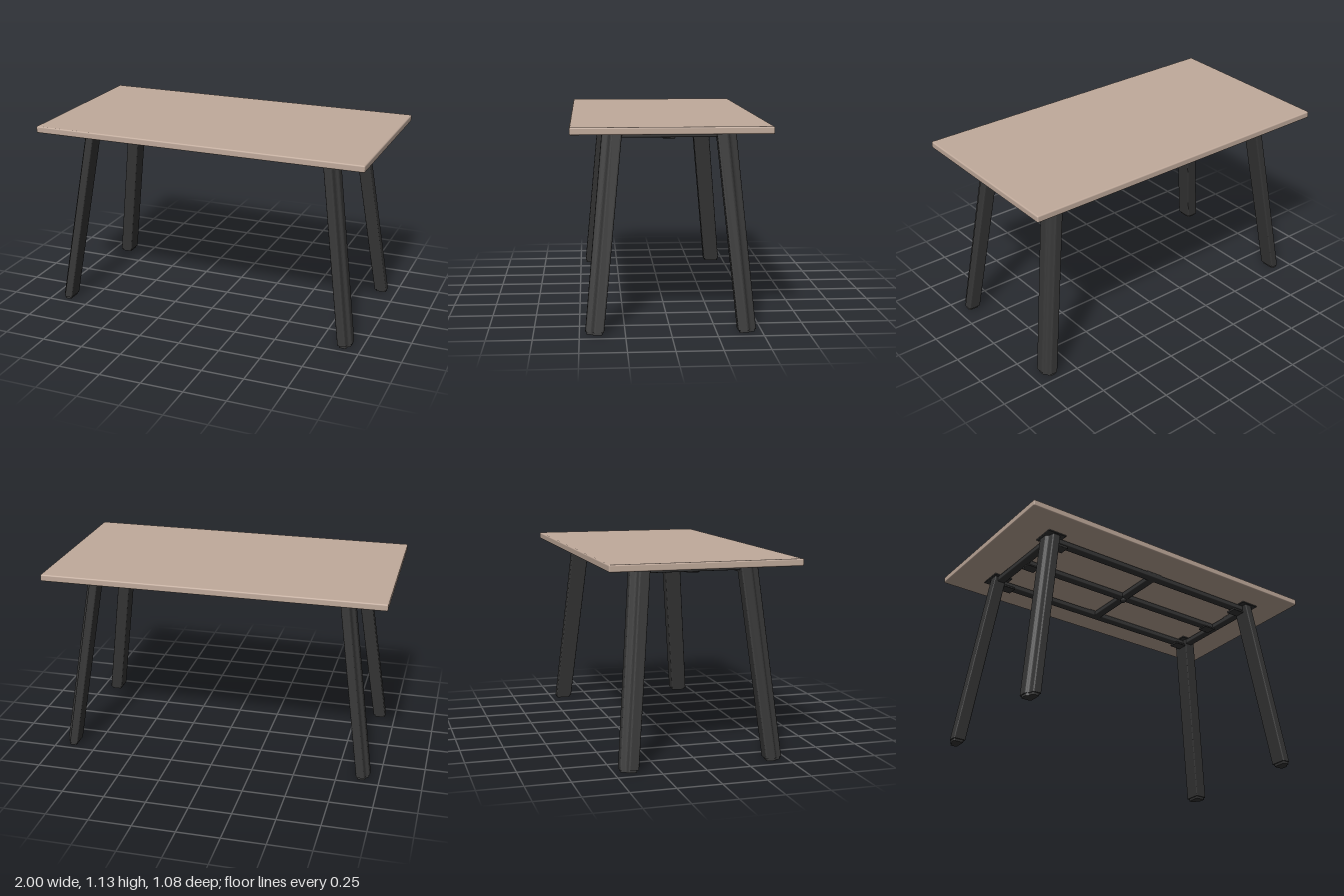
import * as THREE from 'three';
import { RoundedBoxGeometry } from 'three/addons/geometries/RoundedBoxGeometry.js';

export function createModel() {
  const wood = new THREE.MeshStandardMaterial({ color: 0xc0aa9b });
  wood.name = 'pale wood';
  const metal = new THREE.MeshStandardMaterial({ color: 0x363636 });
  metal.name = 'dark metal';

  const table = new THREE.Group();
  table.name = 'table';

  function add(name, geometry, material, x = 0, y = 0, z = 0) {
    const mesh = new THREE.Mesh(geometry, material);
    mesh.name = name;
    mesh.position.set(x, y, z);
    table.add(mesh);
    return mesh;
  }
  const box = (name, w, h, d, x, y, z, r = 0.008) =>
    add(name, new RoundedBoxGeometry(w, h, d, 3, r), metal, x, y, z);

  // Table top
  add('tableTop', new RoundedBoxGeometry(2, 0.04, 1.08, 3, 0.008), wood, 0, 1.115, 0);

  // Leg section: rounded bar with a step cut along its outer corner
  function legShape(sx, sz, w, d) {
    const corners = [
      [-w, -d], [w, -d], [w, d * 0.12], [w * 0.5, d * 0.32], [w * 0.3, d], [-w, d],
    ].map(([x, z]) => new THREE.Vector2(x * sx, -z * sz));
    const shape = new THREE.Shape();
    const n = corners.length;
    corners.forEach((p, i) => {
      const before = corners[(i + n - 1) % n], after = corners[(i + 1) % n];
      const a = p.clone().add(before.clone().sub(p).setLength(0.009));
      const b = p.clone().add(after.clone().sub(p).setLength(0.009));
      if (i === 0) shape.moveTo(a.x, a.y);
      else shape.lineTo(a.x, a.y);
      shape.quadraticCurveTo(p.x, p.y, b.x, b.y);
    });
    shape.closePath();
    return shape;
  }

  // Upright prism leaned so that it follows the splay of the leg
  function legPrism(sx, sz, w, d, y0, y1) {
    const g = new THREE.ExtrudeGeometry(legShape(sx, sz, w, d), {
      depth: y1 - y0, bevelEnabled: false, curveSegments: 4,
    });
    g.rotateX(-Math.PI / 2);
    g.translate(0, y0, 0);
    const p = g.attributes.position;
    for (let i = 0; i < p.count; i++) {
      const t = p.getY(i) / 1.09;
      const grow = 1 + 0.08 * t;
      p.setX(i, p.getX(i) + sx * (0.905 - 0.155 * t));
      p.setZ(i, p.getZ(i) * grow + sz * (0.418 - 0.106 * t));
    }
    g.computeVertexNormals();
    return g;
  }

  // Legs, feet and corner brackets
  for (const sx of [-1, 1]) {
    for (const sz of [-1, 1]) {
      add('leg', legPrism(sx, sz, 0.038, 0.051, 0.014, 1.09), metal);
      add('foot', legPrism(sx, sz, 0.031, 0.043, 0, 0.016), metal);
      box('cornerBracket', 0.1, 0.014, 0.07, sx * 0.69, 1.048, sz * 0.3, 0.005);
      box('cornerFlange', 0.12, 0.01, 0.14, sx * 0.74, 1.091, sz * 0.31, 0.004);
    }
  }

  // Frame rails under the top
  for (const s of [-1, 1]) {
    box('longRail', 1.46, 0.034, 0.05, 0, 1.073, s * 0.31);
    box('endRail', 0.05, 0.034, 0.56, s * 0.745, 1.073, 0);
    box('railPlate', 0.08, 0.012, 0.07, s * 0.69, 1.052, 0, 0.004);
    box('crossRailPad', 0.12, 0.012, 0.04, 0, 1.09, s * 0.31, 0.004);
    box('endRailPad', 0.04, 0.012, 0.1, s * 0.745, 1.09, s * 0.18, 0.004);
  }
  box('centreRail', 1.46, 0.034, 0.05, 0, 1.073, 0);
  box('crossRail', 0.05, 0.034, 0.6, 0, 1.073, 0);

  // Small knob below the rail crossing
  add('centreKnob', new THREE.SphereGeometry(0.019, 16, 10), metal, 0, 1.053, 0);

  return table;
}
